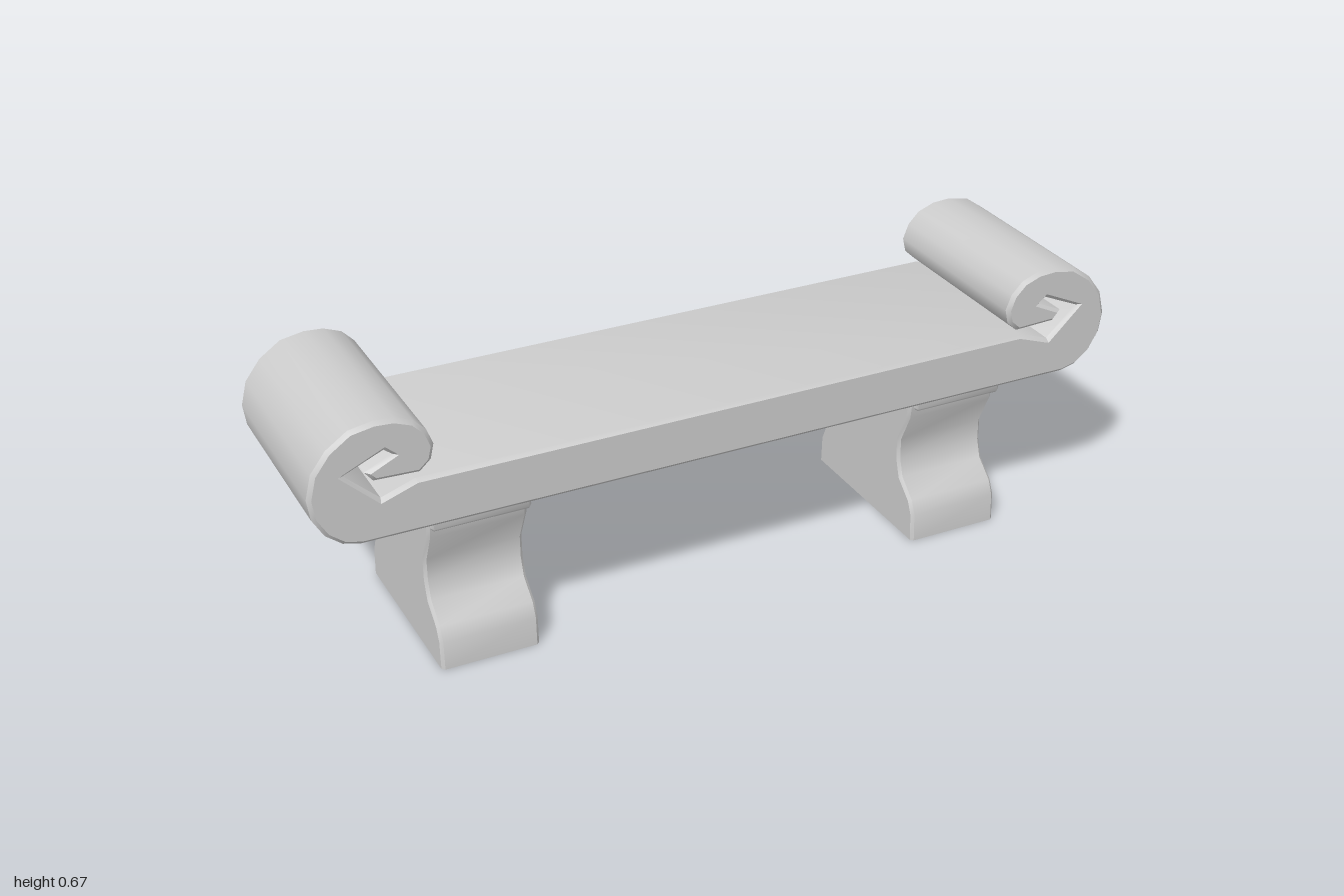
import * as THREE from 'three';
import { toCreasedNormals } from 'three/addons/utils/BufferGeometryUtils.js';

const stone = new THREE.MeshStandardMaterial({ color: 0xcccccc, side: THREE.DoubleSide });
stone.name = 'paleStone';

// Closed outline from a half profile mirrored across x = 0
function mirroredShape(half) {
  const other = half.map(([x, y]) => [-x, y]).reverse();
  return new THREE.Shape([...half, ...other].map(([x, y]) => new THREE.Vector2(x, y)));
}

// Centred extrusion whose chamfers stay inside the outline
function chamferedExtrude(shape, length, chamfer) {
  const geo = new THREE.ExtrudeGeometry(shape, {
    depth: length - 2 * chamfer, steps: 1, bevelEnabled: true, bevelSegments: 1,
    bevelThickness: chamfer, bevelSize: chamfer, bevelOffset: -chamfer,
  });
  return geo.translate(0, 0, -length / 2 + chamfer);
}

// Drops the floor so that the leg is an open shell standing on y = 0
function openBottom(geo) {
  const src = geo.index ? geo.toNonIndexed() : geo;
  const p = src.attributes.position;
  const kept = [];
  for (let i = 0; i < p.count; i += 3) {
    const ys = [0, 1, 2].map((k) => Math.max(0, p.getY(i + k)));
    if (Math.max(...ys) < 1e-5) continue;
    for (let k = 0; k < 3; k++) kept.push(p.getX(i + k), ys[k], p.getZ(i + k));
  }
  const out = new THREE.BufferGeometry();
  out.setAttribute('position', new THREE.Float32BufferAttribute(kept, 3));
  return out;
}

export function createModel() {
  const group = new THREE.Group();
  group.name = 'scrollBench';

  // Seat slab with both ends rolled up into scrolls
  const seatHalf = [
    [0.89, 0.381], [0.93, 0.391], [0.967, 0.42], [0.993, 0.465], [1, 0.515],
    [0.986, 0.572], [0.95, 0.62], [0.9, 0.655], [0.845, 0.665], [0.8, 0.662],
    [0.758, 0.646], [0.73, 0.617], [0.716, 0.58], [0.724, 0.545], [0.75, 0.521],
    // inner curl and groove
    [0.853, 0.525], [0.872, 0.549], [0.808, 0.578], [0.826, 0.592],
    [0.918, 0.552], [0.84, 0.48], [0.76, 0.508],
  ];
  const seat = new THREE.Mesh(
    toCreasedNormals(chamferedExtrude(mirroredShape(seatHalf), 0.48, 0.009), 0.7), stone);
  seat.name = 'scrolledSeat';
  group.add(seat);

  // Waisted legs with a small ledge below the seat
  const legHalf = [
    [0.227, -0.02], [0.227, 0], [0.224, 0.07], [0.208, 0.105], [0.161, 0.146],
    [0.147, 0.19], [0.146, 0.243], [0.182, 0.32], [0.186, 0.352],
    [0.21, 0.352], [0.214, 0.358], [0.214, 0.392],
  ];
  const legGeo = toCreasedNormals(
    openBottom(chamferedExtrude(mirroredShape(legHalf), 0.236, 0.007)), 0.7);
  legGeo.rotateY(Math.PI / 2);
  for (const side of [1, -1]) {
    const leg = new THREE.Mesh(legGeo, stone);
    leg.name = side > 0 ? 'leftLeg' : 'rightLeg';
    leg.position.x = side * 0.61;
    group.add(leg);
  }

  return group;
}
